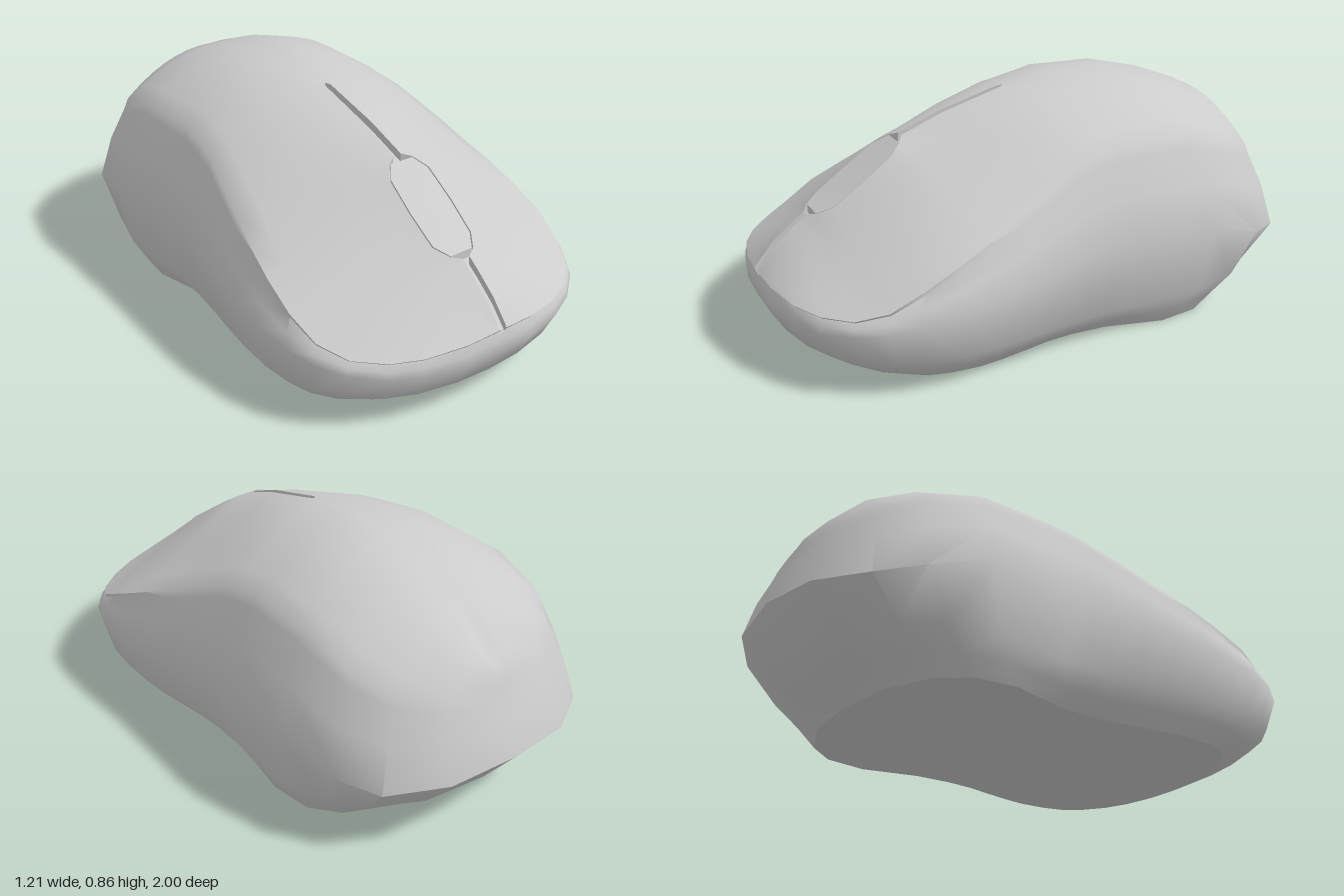
import * as THREE from 'three';
import { mergeVertices, toCreasedNormals } from 'three/addons/utils/BufferGeometryUtils.js';

// Stations round the left half, front to back:
// widest point x, z, y | shoulder x, z, y | z where the row meets the centre line
const STATIONS = [
  [0, 1, 0.21, 0.015, 0.998, 0.30, 0.985],
  [0.14, 0.992, 0.21, 0.14, 0.988, 0.29, 0.93],
  [0.29, 0.96, 0.215, 0.285, 0.953, 0.28, 0.86],
  [0.40, 0.91, 0.22, 0.39, 0.9, 0.275, 0.81],
  [0.50, 0.83, 0.235, 0.48, 0.82, 0.28, 0.79],
  [0.56, 0.74, 0.25, 0.535, 0.72, 0.31, 0.74],
  [0.59, 0.64, 0.265, 0.557, 0.61, 0.37, 0.63],
  [0.607, 0.50, 0.28, 0.55, 0.48, 0.43, 0.52],
  [0.603, 0.38, 0.30, 0.535, 0.37, 0.48, 0.475],
  [0.59, 0.25, 0.32, 0.51, 0.25, 0.53, 0.455],
  [0.575, 0.13, 0.34, 0.485, 0.13, 0.585, 0.30],
  [0.56, 0, 0.36, 0.455, 0, 0.64, 0.07],
  [0.557, -0.09, 0.37, 0.445, -0.08, 0.665, 0.05],
  [0.555, -0.2, 0.37, 0.435, -0.18, 0.68, -0.14],
  [0.573, -0.5, 0.37, 0.44, -0.45, 0.68, -0.36],
  [0.53, -0.72, 0.30, 0.42, -0.66, 0.62, -0.56],
  [0.44, -0.86, 0.27, 0.34, -0.79, 0.57, -0.71],
  [0.25, -0.97, 0.285, 0.19, -0.89, 0.53, -0.82],
  [0, -1, 0.30, 0, -0.915, 0.51, -0.87],
];

// Height of the back along the centre line, half-width of the slot and wheel opening,
// and width of the underside as a share of the full width
const SPINE = [[-1, 0.3], [-0.91, 0.52], [-0.87, 0.59], [-0.71, 0.74], [-0.53, 0.81], [-0.33, 0.855],
  [-0.14, 0.86], [0.08, 0.82], [0.3, 0.76], [0.46, 0.7], [0.75, 0.5], [0.82, 0.47], [0.93, 0.38], [1, 0.3]];
const OPENING = [[0.05, 0], [0.07, 0.011], [0.455, 0.015], [0.475, 0.05], [0.52, 0.085],
  [0.63, 0.09], [0.74, 0.085], [0.79, 0.05], [0.81, 0.015], [1, 0.015]];
const BASE_WIDTH = [[-0.72, 0.88], [-0.5, 0.85], [-0.2, 0.78], [0.1, 0.75], [0.5, 0.79], [0.8, 0.81]];

function sample(table, t) {
  if (t <= table[0][0]) return table[0][1];
  for (let i = 1; i < table.length; i++) {
    const [a, va] = table[i - 1], [b, vb] = table[i];
    if (t <= b) return va + (vb - va) * (t - a) / (b - a);
  }
  return table[table.length - 1][1];
}

const { lerp: mix, smoothstep } = THREE.MathUtils;
const TOP_STEPS = 7;

// Outline point on the flat underside
const basePoint = ([wx, wz]) => [wx * sample(BASE_WIDTH, wz), 0.004, wz * (wz > 0 ? 0.76 : 0.7)];

// One rib of the body, from the underside up to the centre line
function rib(s) {
  const [wx, wz, wy, sx, sz, sy, cz] = s;
  const [bx, by, bz] = basePoint(s);
  const rear = smoothstep(-wz, 0.2, 0.9);
  const k1 = mix(0.56, 0.75, rear), k2 = mix(0.19, 0.43, rear);
  const rimX = s === STATIONS[0] ? 0 : sx; // the rim closes in front of the slot
  const points = [
    [bx, by, bz],
    [mix(wx, bx, k1), mix(0.055, 0.07, rear), mix(wz, bz, k1)],
    [mix(wx, bx, k2), mix(0.12, 0.14, rear), mix(wz, bz, k2)],
    [wx, wy, wz],
    [mix(wx, rimX, 0.4), mix(wy, sy, 0.5), mix(wz, sz, 0.4)],
  ];
  // small inset under the edge of the button shell, fading out along the sides
  const inset = 1 - 0.008 * smoothstep(wz, 0.2, 0.6) / Math.hypot(sx, sz);
  points.push([mix(wx, rimX, 0.88) * inset, mix(wy, sy, 0.88), mix(wz, sz, 0.88) * inset]);
  // top surface, roof-like at the buttons and crowned at the back
  const power = mix(0.97, 2, smoothstep(-wz, -0.55, 0.2));
  const cx = sample(OPENING, cz), cy = sample(SPINE, cz);
  for (let j = 0; j <= TOP_STEPS; j++) {
    const u = j / TOP_STEPS;
    points.push([mix(sx, cx, u), mix(sy, cy, 1 - (1 - u) ** power), mix(sz, cz, u)]);
  }
  return points;
}

// Skin over rows of points, mirrored to the other side
function mirroredSkin(rows, crease) {
  const pos = [], index = [];
  const n = rows[0].length, total = rows.length * n;
  for (const side of [1, -1]) {
    for (const row of rows) for (const [x, y, z] of row) pos.push(side * x + 0, y, z);
    const o = side > 0 ? 0 : total;
    const tri = (a, b, c) => (side > 0 ? index.push(o + a, o + b, o + c) : index.push(o + a, o + c, o + b));
    for (let i = 0; i < rows.length - 1; i++) {
      for (let j = 0; j < n - 1; j++) {
        const a = i * n + j, b = a + n;
        tri(a, b, a + 1);
        tri(b, b + 1, a + 1);
      }
    }
  }
  const g = new THREE.BufferGeometry();
  g.setAttribute('position', new THREE.Float32BufferAttribute(pos, 3));
  g.setIndex(index);
  return toCreasedNormals(mergeVertices(g, 1e-4), crease);
}

export function createModel() {
  const group = new THREE.Group();
  const material = new THREE.MeshStandardMaterial({ color: 0xcccccc });
  const add = (name, geometry) => {
    const mesh = new THREE.Mesh(geometry, material);
    mesh.name = name;
    group.add(mesh);
  };

  // Body
  add('body', mirroredSkin(STATIONS.map(rib), 0.85));

  // Flat underside
  add('underside', mirroredSkin(STATIONS.map((s) => {
    const [x, y, z] = basePoint(s);
    return [[0, y, z], [x, y, z]];
  }), 0.6));

  // Walls and floor of the slot between the buttons and of the wheel opening
  const slotRows = STATIONS.filter((s) => s[6] >= 0.05).map((s) => {
    const z = s[6], h = sample(OPENING, z), y = sample(SPINE, z);
    return [[h, y, z], [h, y - 0.03, z], [0, y - 0.03, z]];
  });
  // front end of the slot, down to the rim
  slotRows.unshift([[0.015, 0.3, 0.998], [0.015, 0.285, 0.993], [0, 0.285, 0.993]]);
  add('buttonSlot', mirroredSkin(slotRows, 0.6));

  // Wheel pad, sheared to follow the slope of the back
  const half = [[0.046, 0.788], [0.08, 0.739], [0.085, 0.63], [0.08, 0.521], [0.046, 0.477]];
  const outline = [...half, ...half.map(([x, z]) => [-x, z]).reverse()];
  const pad = new THREE.ExtrudeGeometry(
    new THREE.Shape(outline.map(([x, z]) => new THREE.Vector2(x, -z))),
    { depth: 0.05, bevelEnabled: false });
  pad.rotateX(-Math.PI / 2);
  const p = pad.attributes.position;
  for (let i = 0; i < p.count; i++) p.setY(i, p.getY(i) - 0.05 + sample(SPINE, p.getZ(i)));
  add('scrollWheel', toCreasedNormals(pad, 0.6));

  return group;
}
